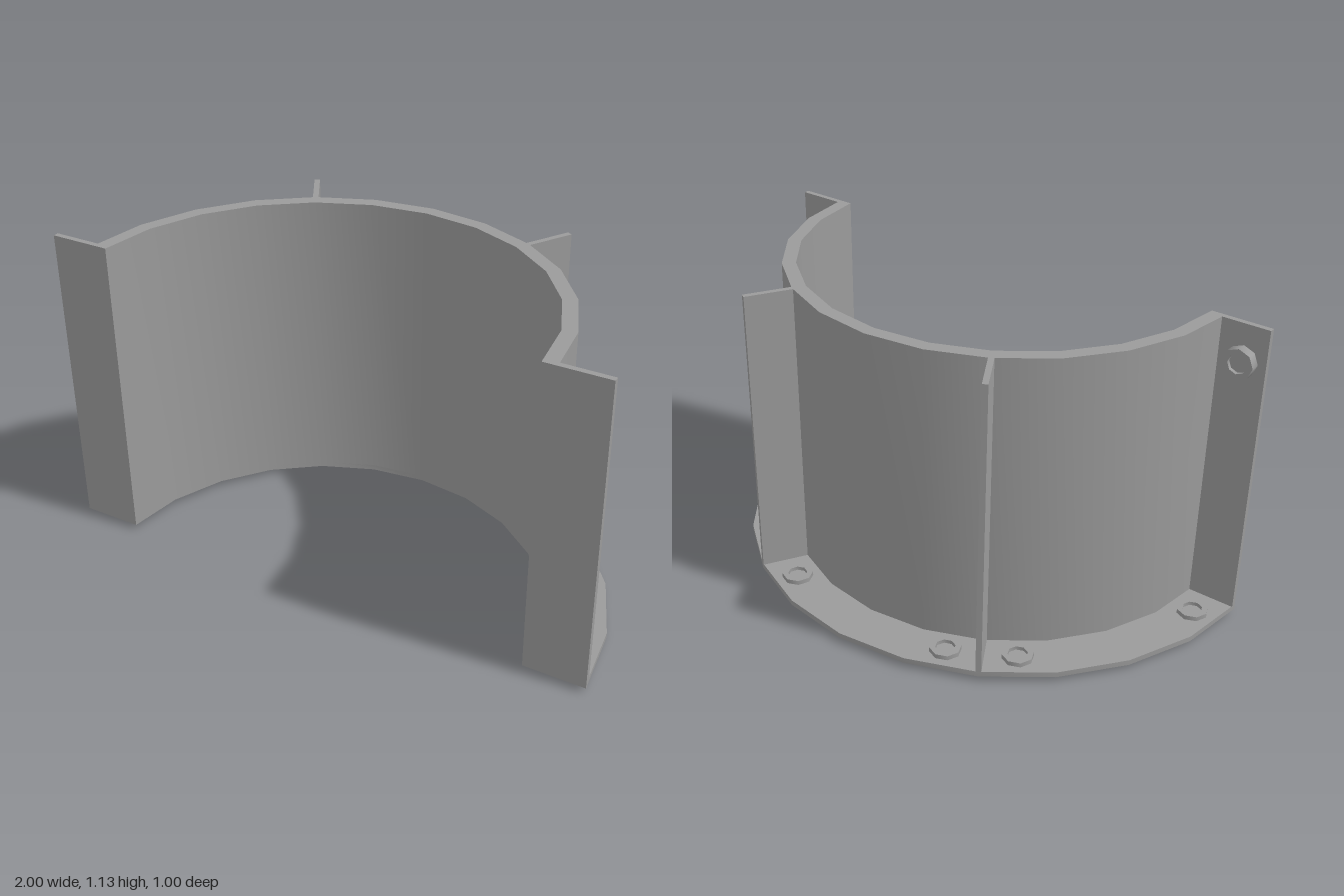
import * as THREE from 'three';
import { toCreasedNormals } from 'three/addons/utils/BufferGeometryUtils.js';

const INNER = 0.78, WALL = 0.83, OUTER = 1;
const BOTTOM = 0.018, FLOOR = 0.038, TOP = 1.13, THICK = 0.02;
const CENTRE_Z = 0.5;

const material = new THREE.MeshStandardMaterial({ color: 0x9a9a9a });

function addMesh(parent, name, geometry) {
  const mesh = new THREE.Mesh(geometry, material);
  mesh.name = name;
  parent.add(mesh);
  return mesh;
}

// Points along an arc of straight segments
function arcPoints(radius, span, segments) {
  return Array.from({ length: segments + 1 }, (_, i) => {
    const a = (span * i) / segments;
    return new THREE.Vector2(radius * Math.cos(a), radius * Math.sin(a));
  });
}

// Upright half ring between two radii and two heights
function halfRing(inner, outer, y0, y1) {
  const outline = [...arcPoints(outer, Math.PI, 12), ...arcPoints(inner, Math.PI, 12).reverse()];
  const geometry = new THREE.ExtrudeGeometry(new THREE.Shape(outline), { depth: y1 - y0, bevelEnabled: false });
  geometry.rotateX(-Math.PI / 2).translate(0, y0, CENTRE_Z);
  return toCreasedNormals(geometry, Math.PI / 6);
}

// Eight-sided bolt sleeve along y, with a recess at each end
function boltGeometry(length) {
  const r = 0.056, bore = 0.035, h = length / 2, recess = h - 0.014;
  const profile = [[0, -recess], [bore, -recess], [bore, -h], [r, -h], [r, h], [bore, h], [bore, recess], [0, recess]];
  const geometry = new THREE.LatheGeometry(profile.map(([x, y]) => new THREE.Vector2(x, y)), 8);
  return toCreasedNormals(geometry.toNonIndexed(), 0.85);
}

export function createModel() {
  const model = new THREE.Group();
  model.name = 'halfRingSegment';

  addMesh(model, 'curvedWall', halfRing(INNER, WALL, BOTTOM, TOP));
  addMesh(model, 'basePlate', halfRing(INNER, OUTER, BOTTOM, FLOOR));

  const height = TOP - FLOOR, midY = (TOP + FLOOR) / 2;
  const bolt = boltGeometry(0.055);

  for (const [side, label] of [[1, 'left'], [-1, 'right']]) {
    // Flat flange closing the end of the half ring
    const flange = addMesh(model, `${label}EndFlange`, new THREE.BoxGeometry(OUTER - INNER, height, THICK));
    flange.position.set((side * (OUTER + INNER)) / 2, midY, CENTRE_Z - THICK / 2);

    // Radial stiffening rib at 60 degrees
    const angle = Math.PI / 3, inside = WALL - 0.02, mid = (OUTER + inside) / 2;
    const rib = addMesh(model, `${label}Rib`, new THREE.BoxGeometry(OUTER - inside, height, THICK));
    rib.position.set(side * mid * Math.cos(angle), midY, CENTRE_Z - mid * Math.sin(angle));
    rib.rotation.y = side * angle;

    // Bolts through the base plate
    [[0.9, 0.368], [0.558, -0.22], [0.343, -0.343]].forEach(([x, z], i) => {
      addMesh(model, `${label}BaseBolt${i + 1}`, bolt).position.set(side * x, 0.0275, z);
    });

    // Bolt at the back of the flange
    const flangeBolt = addMesh(model, `${label}FlangeBolt`, bolt);
    flangeBolt.rotation.x = Math.PI / 2;
    flangeBolt.position.set(side * 0.915, 0.998, 0.4715);
  }
  return model;
}
